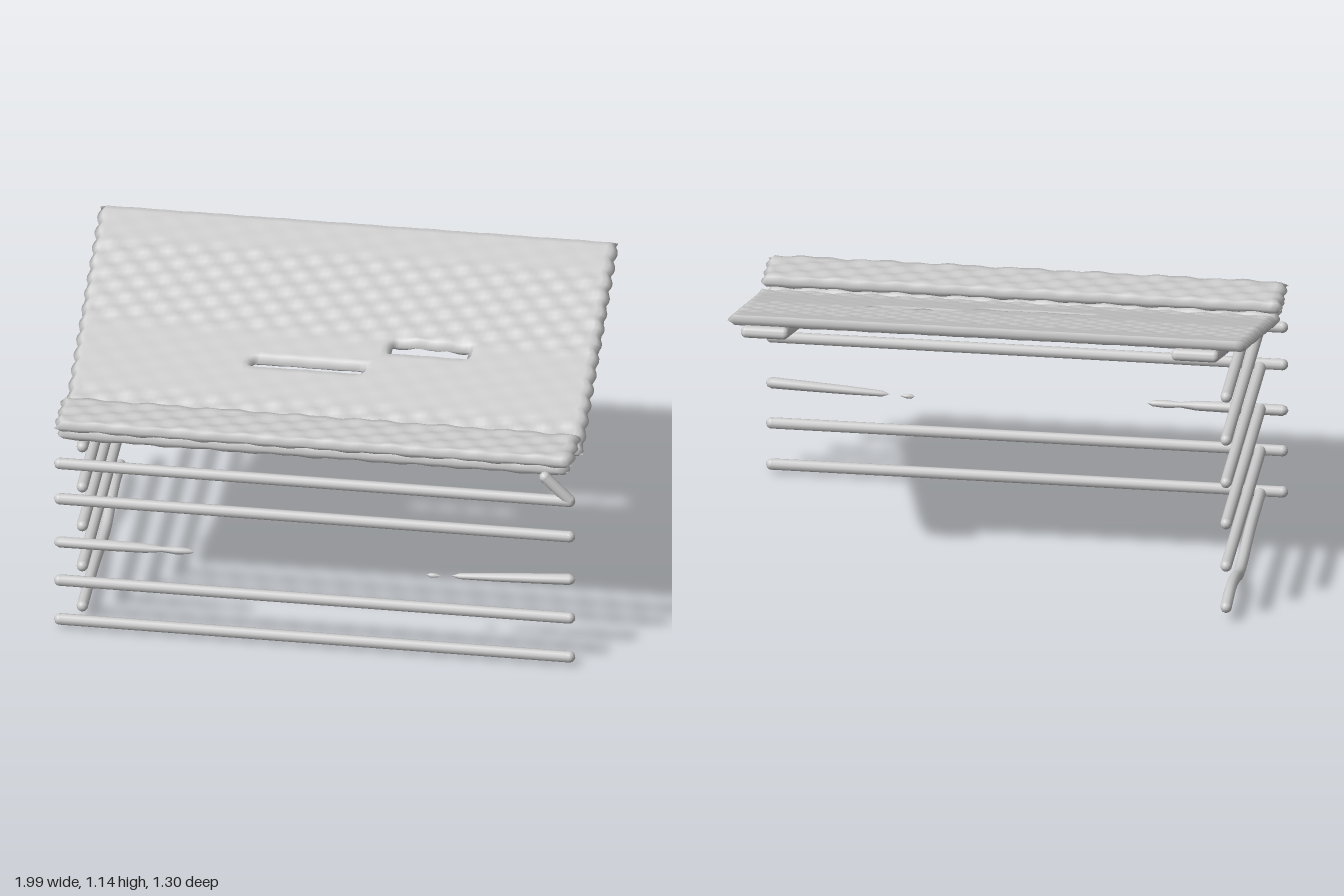
import * as THREE from 'three';
import { mergeVertices } from 'three/addons/utils/BufferGeometryUtils.js';
import { RoundedBoxGeometry } from 'three/addons/geometries/RoundedBoxGeometry.js';

const grey = new THREE.MeshStandardMaterial({ color: 0xcccccc });
const V = (x, y, z) => new THREE.Vector3(x, y, z);

function add(parent, name, geometry) {
  const mesh = new THREE.Mesh(geometry, grey);
  mesh.name = name;
  parent.add(mesh);
  return mesh;
}

// Rod with rounded ends through a few points
function rod(parent, name, points, r = 0.021) {
  const group = new THREE.Group();
  group.name = name;
  parent.add(group);
  const curve = new THREE.CatmullRomCurve3(points);
  add(group, name + 'Bar', new THREE.TubeGeometry(curve, 24, r, 10));
  for (const p of [points[0], points[points.length - 1]])
    add(group, name + 'End', new THREE.SphereGeometry(r, 10, 8)).position.copy(p);
}

// Horizontal rod whose thickness follows [x, radius] pairs
function taperedRod(parent, name, pairs, y, z, tilt = 0) {
  const mid = (pairs[0][0] + pairs[pairs.length - 1][0]) / 2;
  const profile = pairs.map(([x, r]) => new THREE.Vector2(r, x - mid));
  const mesh = add(parent, name, new THREE.LatheGeometry(profile, 10));
  mesh.rotation.z = -Math.PI / 2 + tilt;
  mesh.position.set(mid, y, z);
}

// Lumpy sheet with rounded scalloped edges; slots are [x0, x1, z0, z1]
function sheet({ x0, x1, back, front, rough, slots = [], scallop = 0.012, h = 0.02 }) {
  const nx = 96, depth = front[1] - back[1];
  const nz = Math.round(depth / 0.0165);
  const pos = [], idx = [];
  const inSlot = (x, z) => slots.some(s => x > s[0] && x < s[1] && z > s[2] && z < s[3]);
  const cellOpen = (i, j) => i >= 0 && j >= 0 && i < nx && j < nz &&
    inSlot(x0 + (x1 - x0) * (i + 0.5) / nx, back[1] + depth * (j + 0.5) / nz);
  for (const side of [1, -1]) {
    for (let j = 0; j <= nz; j++) for (let i = 0; i <= nx; i++) {
      const u = i / nx, v = j / nz, z = back[1] + depth * v;
      const wave = scallop * Math.abs(Math.sin(z * 46));
      const l = x0 - wave, r = x1 + wave;
      const x = l + (r - l) * u;
      // Thickness rounds off to nothing at the rim and at the slots
      const d = Math.min((r - l) * Math.min(u, 1 - u), depth * Math.min(v, 1 - v));
      const e = THREE.MathUtils.clamp(d / h, 0, 1);
      const atSlot = cellOpen(i, j) || cellOpen(i - 1, j) || cellOpen(i, j - 1) || cellOpen(i - 1, j - 1);
      const half = atSlot ? 0 : h * Math.sqrt(e * (2 - e));
      const bump = rough(z) * e * Math.sin(x * 41 + z * 23) * Math.sin(z * 75 - x * 17);
      pos.push(x, back[0] + (front[0] - back[0]) * v + side * half + bump, z);
    }
  }
  const row = nx + 1, layer = row * (nz + 1);
  for (let j = 0; j < nz; j++) for (let i = 0; i < nx; i++) {
    if (cellOpen(i, j)) continue;
    const a = j * row + i, b = a + 1, c = a + row, d = c + 1;
    idx.push(a, c, b, b, c, d);
    idx.push(a + layer, b + layer, c + layer, b + layer, d + layer, c + layer);
  }
  const g = new THREE.BufferGeometry();
  g.setAttribute('position', new THREE.Float32BufferAttribute(pos, 3));
  g.setIndex(idx);
  const merged = mergeVertices(g, 1e-5);
  merged.computeVertexNormals();
  return merged;
}

export function createModel() {
  const model = new THREE.Group();
  model.name = 'shelter';
  const body = new THREE.Group();
  body.name = 'shelterBody';
  body.rotation.y = 0.084;
  model.add(body);

  // Sloping roof with two long tears
  add(body, 'slopingRoof', sheet({
    x0: -0.945, x1: 0.94, back: [1.13, -0.56], front: [0.8, 0.385],
    rough: z => (z > -0.4 && z < -0.04) || z > 0.26 ? 0.007 : 0.0015,
    slots: [[0.2, 0.47, -0.028, 0.006], [-0.3, 0.09, 0.083, 0.106]],
  }));

  // Flat front canopy in two layers
  add(body, 'frontCanopy', sheet({
    x0: -0.955, x1: 0.93, back: [0.855, 0.355], front: [0.86, 0.565], rough: () => 0.006,
  }));
  add(body, 'canopyUnderlayer', sheet({
    x0: -0.945, x1: 0.91, back: [0.81, 0.34], front: [0.81, 0.535], rough: () => 0.006, h: 0.024,
  }));

  // Plank rafters under the roof
  for (const [name, x] of [['rightRafter', -0.765], ['leftRafter', 0.81]]) {
    const rafter = add(body, name, new RoundedBoxGeometry(0.175, 0.045, 0.99, 3, 0.02));
    rafter.position.set(x, 0.931, -0.115);
    rafter.rotation.x = Math.atan2(0.33, 0.93);
  }

  // Front rails, the middle one broken
  for (const y of [0.04, 0.205, 0.55, 0.7])
    rod(body, 'frontRail', [V(-0.945, y, 0.545), V(0, y, 0.548), V(0.925, y, 0.55)]);
  taperedRod(body, 'brokenRailRight', [[-0.967, 0], [-0.96, 0.014], [-0.945, 0.021], [-0.75, 0.02],
    [-0.63, 0.018], [-0.57, 0.01], [-0.52, 0.015], [-0.47, 0.011], [-0.45, 0]], 0.367, 0.545);
  taperedRod(body, 'brokenRailLeft', [[0.492, 0], [0.52, 0.011], [0.65, 0.016], [0.8, 0.019],
    [0.925, 0.021], [0.94, 0.014], [0.947, 0]], 0.357, 0.548, 0.05);
  taperedRod(body, 'brokenRailScrap', [[0.4, 0], [0.415, 0.009], [0.435, 0.008], [0.455, 0]], 0.342, 0.548);

  // Side rails, the lowest one bent
  for (const y of [0.23, 0.4, 0.565, 0.735])
    rod(body, 'sideRail', [V(-0.872, y, -0.515), V(-0.872, y, 0), V(-0.872, y, 0.475)]);
  rod(body, 'upperSideRail', [V(-0.872, 0.905, -0.51), V(-0.872, 0.905, 0.05)]);
  rod(body, 'bentSideRail', [[0.065, -0.515], [0.08, -0.39], [0.065, -0.27], [0.028, -0.14],
    [0.03, -0.04], [0.055, 0.18], [0.06, 0.475]].map(([y, z]) => V(-0.872, y, z)));

  // Short slanted brace at the front corner
  rod(body, 'cornerBrace', [V(0.835, 0.795, 0.55), V(0.925, 0.705, 0.55)]);

  return model;
}
